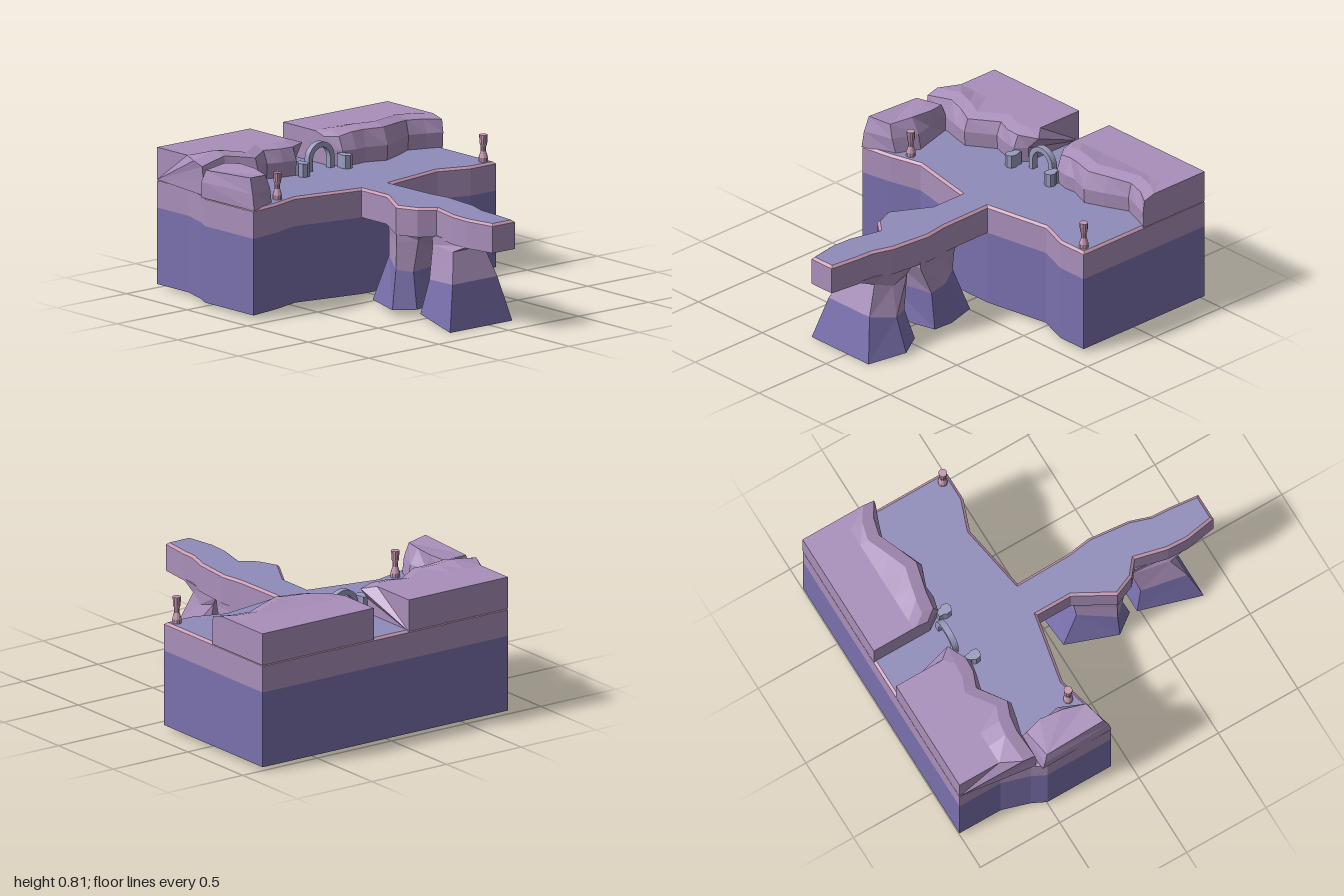
import * as THREE from 'three';

const mat = (color) => new THREE.MeshStandardMaterial({ color, flatShading: true });

// Skin between closed rings of [x, y, z] points, fan caps at both ends, faces turned outward
function loft(rings) {
  const n = rings[0].length, tris = [];
  for (let i = 0; i < rings.length - 1; i++) {
    for (let j = 0; j < n; j++) {
      const k = (j + 1) % n;
      const a = rings[i][j], b = rings[i][k], c = rings[i + 1][k], d = rings[i + 1][j];
      tris.push([a, b, c], [a, c, d]);
    }
  }
  const first = rings[0], last = rings[rings.length - 1];
  for (let j = 1; j < n - 1; j++) {
    tris.push([first[0], first[j + 1], first[j]], [last[0], last[j], last[j + 1]]);
  }
  const v = (p) => new THREE.Vector3(...p);
  let volume = 0;
  for (const [a, b, c] of tris) volume += v(a).dot(v(b).cross(v(c)));
  const pos = tris.flatMap((t) => (volume < 0 ? [t[0], t[2], t[1]] : t)).flat();
  const g = new THREE.BufferGeometry();
  g.setAttribute('position', new THREE.Float32BufferAttribute(pos, 3));
  g.computeVertexNormals();
  return g;
}

// Extrude a plan outline of [x, z] points upward from y
function slab(outline, y, depth, options = {}) {
  const shape = new THREE.Shape(outline.map(([x, z]) => new THREE.Vector2(x, -z)));
  const g = new THREE.ExtrudeGeometry(shape, { depth, bevelEnabled: false, ...options });
  return g.rotateX(-Math.PI / 2).translate(0, y, 0);
}

export function createModel() {
  const root = new THREE.Group();
  const deckBlue = mat(0x8f8cba), mauve = mat(0xa98fba), indigo = mat(0x7a70ad);
  const pink = mat(0xc598b2), slate = mat(0x9a9cc0);
  const add = (name, geometry, material, parent = root) => {
    const mesh = new THREE.Mesh(geometry, material);
    mesh.name = name;
    parent.add(mesh);
    return mesh;
  };

  // Plan outlines: the main block, and the same block with its promontory
  const back = [[0.865, -0.1], [0.865, -1], [-0.78, -1], [-0.78, -0.74], [-0.83, -0.58], [-0.87, -0.5], [-0.87, -0.1]];
  const leftShore = [[-0.69, -0.13], [-0.5, -0.18], [-0.1, -0.1]];
  const rightShore = [[0.11, -0.1], [0.5, -0.165], [0.68, -0.1]];
  const promontory = [
    [-0.1, 0.11], [-0.225, 0.33], [-0.175, 0.45], [-0.095, 0.515], [-0.14, 0.7], [-0.145, 0.82], [-0.115, 1],
    [0.045, 1], [0.065, 0.82], [0.07, 0.72], [0.11, 0.6], [0.135, 0.36], [0.115, 0.22],
  ];
  const block = [...back, ...leftShore, ...rightShore];
  const deck = [...back, ...leftShore, ...promontory, ...rightShore];

  add('lowerBlock', slab(block, 0.02, 0.425), indigo);
  add('upperBlock', slab(deck, 0.445, 0.147), mauve);
  add('deckWithTrim', slab(deck, 0.59, 0.004, {
    bevelEnabled: true, bevelSegments: 1, bevelThickness: 0.012, bevelSize: 0.015, bevelOffset: -0.015,
  }), [deckBlue, pink]);

  // Splayed rock piers under the promontory: foot, waist, neck and top rings
  const piers = {
    frontPier: [
      [[-0.28, 0, 0.84], [0.165, 0, 0.84], [0.235, 0.02, 0.625], [0.15, 0.025, 0.48], [-0.18, 0.025, 0.48]],
      [[-0.21, 0.245, 0.78], [0.11, 0.245, 0.78], [0.165, 0.21, 0.63], [0.11, 0.2, 0.52], [-0.15, 0.22, 0.52]],
      [[-0.145, 0.405, 0.71], [0.075, 0.405, 0.71], [0.105, 0.37, 0.6], [0.1, 0.4, 0.49], [-0.1, 0.4, 0.49]],
      [[-0.14, 0.455, 0.83], [0.06, 0.455, 0.83], [0.1, 0.455, 0.61], [0.11, 0.455, 0.45], [-0.1, 0.455, 0.48]],
    ],
    rearPier: [
      [[-0.14, 0.02, 0.04], [0.1, 0.02, 0.02], [0.165, 0.03, 0.22], [0.165, 0.035, 0.345], [-0.17, 0.04, 0.44], [-0.25, 0.03, 0.33]],
      [[-0.11, 0.28, 0.14], [0.09, 0.3, 0.14], [0.14, 0.27, 0.24], [0.145, 0.25, 0.35], [-0.16, 0.24, 0.4], [-0.225, 0.25, 0.33]],
      [[-0.1, 0.4, 0.13], [0.09, 0.4, 0.13], [0.118, 0.4, 0.24], [0.13, 0.42, 0.42], [-0.15, 0.42, 0.43], [-0.22, 0.4, 0.33]],
      [[-0.1, 0.455, 0.12], [0.1, 0.455, 0.12], [0.118, 0.455, 0.24], [0.13, 0.455, 0.42], [-0.16, 0.455, 0.45], [-0.22, 0.455, 0.33]],
    ],
  };
  for (const [name, rings] of Object.entries(piers)) {
    const pier = new THREE.Group();
    pier.name = name;
    add('pierFoot', loft(rings.slice(0, 2)), indigo, pier);
    add('pierNeck', loft(rings.slice(1)), mauve, pier);
    root.add(pier);
  }

  // Cliffs: columns of [x, front z, crest height, lip setback, lip shift in x]
  const cliff = (columns, minX) => loft(columns.map(([x, z, y, set = 0.03, lean = 0]) => {
    const bx = Math.max(x, minX);
    return [
      [bx, 0.6, -1], [bx, 0.78, -1], [bx, 0.78, -0.75], [x, y, z - 0.07 - set],
      [x + lean, y - 0.02, z - set], [x, 0.69, z], [x, 0.6, z - 0.005],
    ];
  }));
  add('leftwardCliff', cliff([
    [0.12, -0.64, 0.78, 0.02], [0.17, -0.565, 0.785], [0.25, -0.545, 0.8, 0.04], [0.32, -0.55, 0.805, 0.02], [0.44, -0.505, 0.805, 0.035],
    [0.55, -0.55, 0.8, 0.03], [0.68, -0.61, 0.79, 0.02], [0.78, -0.575, 0.785, 0.03], [0.868, -0.54, 0.78, 0.01],
  ], -1), mauve);
  add('rightwardCliff', cliff([
    [-0.84, -0.55, 0.78, 0.01], [-0.67, -0.545, 0.81, 0.03], [-0.58, -0.52, 0.795, 0.04], [-0.49, -0.5, 0.78, 0.025], [-0.34, -0.6, 0.78, 0.03],
    [-0.25, -0.575, 0.78, 0.02], [-0.165, -0.56, 0.78, 0.03], [-0.115, -0.62, 0.78, 0.02, 0.06],
  ], -0.78), mauve);

  // Outcrop on the edge of the deck
  add('outcrop', loft([
    [[-0.875, 0.6, -0.53], [-0.69, 0.6, -0.55], [-0.655, 0.6, -0.42], [-0.62, 0.6, -0.3], [-0.68, 0.6, -0.17], [-0.87, 0.6, -0.095]],
    [[-0.88, 0.69, -0.52], [-0.685, 0.69, -0.55], [-0.665, 0.69, -0.41], [-0.64, 0.69, -0.3], [-0.7, 0.69, -0.16], [-0.868, 0.69, -0.11]],
    [[-0.865, 0.755, -0.5], [-0.7, 0.765, -0.53], [-0.675, 0.775, -0.43], [-0.69, 0.775, -0.3], [-0.725, 0.765, -0.17], [-0.86, 0.775, -0.14]],
  ]), mauve);

  // Gateway arch
  const arch = new THREE.Shape();
  arch.moveTo(0.092, 0).lineTo(0.092, 0.063).absarc(0, 0.063, 0.092, 0, Math.PI, false);
  arch.lineTo(-0.092, 0).lineTo(-0.062, 0).lineTo(-0.062, 0.063);
  arch.absarc(0, 0.063, 0.062, Math.PI, 0, true).lineTo(0.062, 0);
  add('gateArch', new THREE.ExtrudeGeometry(arch, { depth: 0.035, bevelEnabled: false, curveSegments: 9 })
    .translate(0.028, 0.605, -0.61), slate);

  // Guard stones beside the gate: rounded front with a narrow tail
  for (const x of [-0.145, 0.16]) {
    const s = -Math.sign(x);
    const outline = [[-0.022, -0.575], [0.02, -0.575], [0.018, -0.55], [0.03, -0.53], [0.025, -0.5], [0, -0.49], [-0.025, -0.5], [-0.03, -0.53], [-0.022, -0.55]];
    add('guardStone', slab(outline.map(([px, pz]) => [x - s * px, pz]), 0.6, 0.08), slate);
  }

  // Waisted bollards on the deck
  const profile = [[0, 0], [0.026, 0], [0.026, 0.025], [0.015, 0.06], [0.015, 0.085], [0.021, 0.1], [0.024, 0.15], [0, 0.15]];
  for (const [x, z] of [[-0.605, -0.21], [0.815, -0.148]]) {
    const points = profile.map(([r, y]) => new THREE.Vector2(r, y));
    add('bollard', new THREE.LatheGeometry(points, 10), pink).position.set(x, 0.605, z);
  }
  return root;
}
